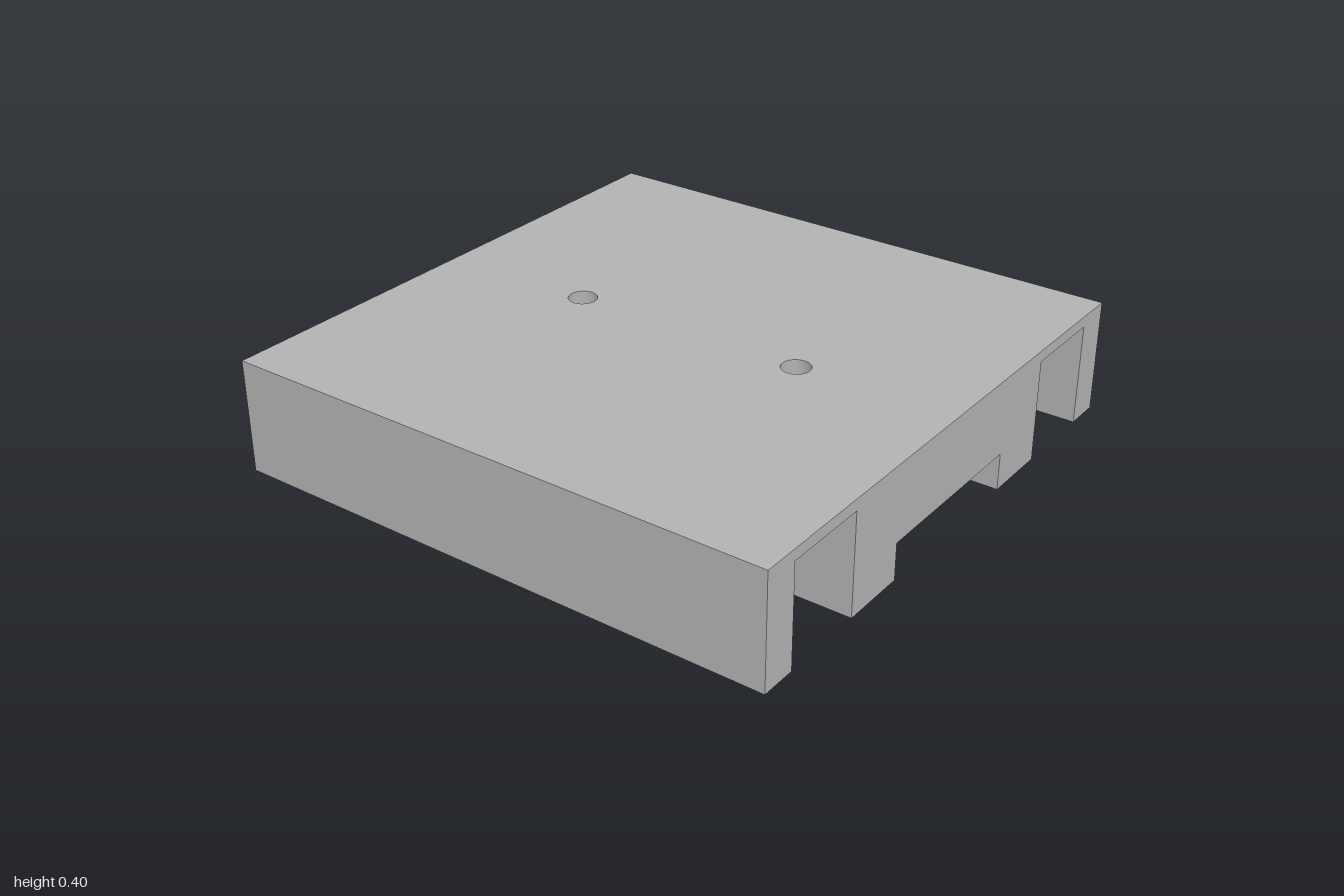
import * as THREE from 'three';

export function createModel() {
  const model = new THREE.Group();
  const grey = new THREE.MeshStandardMaterial({ color: 0xb2b2b2 });
  grey.name = 'plain grey';

  const add = (name, geometry, parent = model) => {
    const mesh = new THREE.Mesh(geometry, grey);
    mesh.name = name;
    parent.add(mesh);
    return mesh;
  };

  // Side profile [z, y], walked around the section with the solid on its left
  const half = [[0.32, 0.13], [0.32, 0], [0.56, 0], [0.56, 0.36], [0.87, 0.36], [0.87, 0], [1, 0], [1, 0.4]];
  const profile = [...half, ...half.map(([z, y]) => [-z, y]).reverse()];

  // Drilled holes: x, radius and centre along each wall
  const topHoles = [-0.43, 0.43], topR = 0.05;
  const boreY = 0.235, boreR = 0.065;

  // End faces
  const section = new THREE.Shape(profile.map(([z, y]) => new THREE.Vector2(z, y)));
  for (const side of [1, -1]) {
    const end = add(side > 0 ? 'leftEnd' : 'rightEnd', new THREE.ShapeGeometry(section));
    end.rotation.y = side * Math.PI / 2;
    end.position.x = side;
  }

  // Long faces swept across x, one per profile edge, pierced where drilled
  profile.forEach(([z0, y0], i) => {
    const [z1, y1] = profile[(i + 1) % profile.length];
    const length = Math.hypot(z1 - z0, y1 - y0);
    const shape = new THREE.Shape([[-1, 0], [1, 0], [1, length], [-1, length]].map(p => new THREE.Vector2(...p)));
    const pierce = (x, along, r) => shape.holes.push(new THREE.Path().absarc(x, along, r, 0, Math.PI * 2, true));
    const isTop = y0 === 0.4 && y1 === 0.4;
    const isBored = z0 === z1 && z0 <= -0.56;
    if (isTop) topHoles.forEach(x => pierce(x, length / 2, topR));
    if (isBored) pierce(0, Math.abs(boreY - y0), boreR);
    const face = add(isTop ? 'topFace' : isBored ? 'boredWall' : 'longFace', new THREE.ShapeGeometry(shape, 24));
    const along = new THREE.Vector3(0, (y1 - y0) / length, (z1 - z0) / length);
    const across = new THREE.Vector3(1, 0, 0);
    face.quaternion.setFromRotationMatrix(
      new THREE.Matrix4().makeBasis(across, along, across.clone().cross(along)));
    face.position.set(0, y0, z0);
    // Keep the face pointing out of the solid
    const outward = new THREE.Vector3(0, -(z1 - z0), y1 - y0);
    outward.set(0, -(z1 - z0), y1 - y0);
    const normal = across.clone().cross(along);
    if (normal.dot(outward) < 0) face.rotateY(Math.PI);
  });

  // Inward-facing hole lining, with a flat floor if the hole is blind
  const drill = (name, r, depth, blind) => {
    const hole = new THREE.Group();
    hole.name = name;
    model.add(hole);
    add('holeLining', new THREE.LatheGeometry([new THREE.Vector2(r, 0), new THREE.Vector2(r, -depth)], 48), hole);
    if (blind) add('holeFloor', new THREE.CircleGeometry(r, 48).rotateX(-Math.PI / 2).translate(0, -depth, 0), hole);
    return hole;
  };
  topHoles.forEach(x => drill('topHole', topR, 0.2, true).position.set(x, 0.4, 0));
  for (const [z, depth, blind] of [[-1, 0.13, false], [-0.56, 0.2, true]]) {
    const bore = drill('backBore', boreR, depth, blind);
    bore.position.set(0, boreY, z);
    bore.rotation.x = -Math.PI / 2;
  }

  return model;
}
